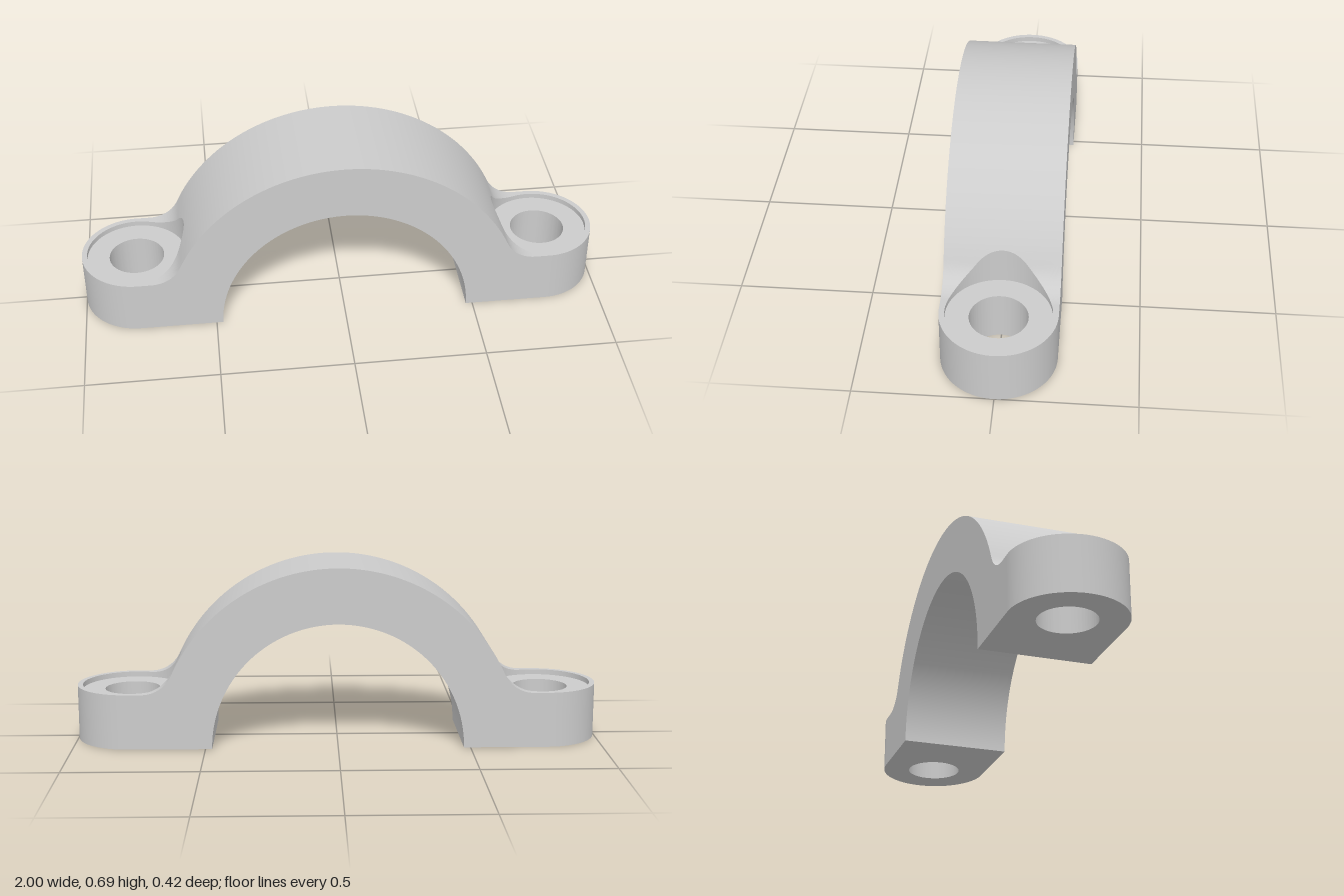
import * as THREE from 'three';
import { mergeGeometries, toCreasedNormals } from 'three/addons/utils/BufferGeometryUtils.js';

const OUTER = 0.685, BORE = 0.475, HALF = 0.21;        // arch radii, half depth
const LUG_X = 0.79, LUG_H = 0.21;                       // lug centre and height
const HOLE = 0.105, SPOT = 0.19, FLOOR = 0.19;          // bolt hole, spot face radius and floor height
const SEAM = LUG_X - SPOT;                              // where arch and lug meet
const FILLET = 0.124;
const FY = LUG_H + FILLET;
const FX = Math.sqrt((OUTER + FILLET) ** 2 - FY ** 2);  // fillet centre
const TANGENT = FX * OUTER / (OUTER + FILLET);

// Height of the upper surface: arch, then fillet, then flat lug
function topHeight(x) {
  if (x < TANGENT) return Math.sqrt(OUTER ** 2 - x * x);
  if (x < FX) return FY - Math.sqrt(FILLET ** 2 - (x - FX) ** 2);
  return LUG_H;
}

// Skin a row of closed rings; triangles on the hidden seam plane are left out
function skin(rings, loop) {
  const pos = [], tri = new THREE.Triangle();
  const add = (a, b, c) => {
    if (tri.set(a, b, c).getArea() < 1e-9) return;
    if ([a, b, c].every(p => Math.abs(Math.abs(p.x) - SEAM) < 1e-6)) return;
    for (const p of [a, b, c]) pos.push(p.x, p.y, p.z);
  };
  const count = loop ? rings.length : rings.length - 1;
  for (let i = 0; i < count; i++) {
    const r = rings[i], s = rings[(i + 1) % rings.length];
    for (let j = 0; j < r.length; j++) {
      const k = (j + 1) % r.length;
      add(r[j], s[j], r[k]);
      add(r[k], s[j], s[k]);
    }
  }
  const g = new THREE.BufferGeometry();
  g.setAttribute('position', new THREE.Float32BufferAttribute(pos, 3));
  return g;
}

// Half-round arch between the two seams
function archGeometry() {
  const n = 40, end = Math.asin(SEAM / OUTER), rings = [];
  const ring = (ix, iy, ox, oy) => rings.push([
    new THREE.Vector3(ox, oy, HALF), new THREE.Vector3(ox, oy, -HALF),
    new THREE.Vector3(ix, iy, -HALF), new THREE.Vector3(ix, iy, HALF)]);
  ring(-SEAM, 0, -SEAM, topHeight(SEAM));
  for (let i = -n; i <= n; i++) {
    const a = end * i / n, b = Math.PI / 2 * i / n;
    ring(BORE * Math.sin(b), BORE * Math.cos(b), OUTER * Math.sin(a), OUTER * Math.cos(a));
  }
  ring(SEAM, 0, SEAM, topHeight(SEAM));
  return skin(rings, false);
}

// Lug with rounded end, bolt hole and round spot face cut into the fillet
function lugGeometry() {
  const outline = [], n = 28;
  for (let i = 0; i < 2 * n; i++) {
    const a = -Math.PI / 2 + Math.PI * i / (2 * n);
    outline.push([HALF * Math.cos(a), HALF * Math.sin(a)]);
  }
  for (let i = 0; i < n; i++) outline.push([-SPOT * i / n, HALF]);
  for (let i = 0; i < 2 * n; i++) outline.push([-SPOT, HALF * (1 - i / n)]);
  for (let i = 0; i < n; i++) outline.push([-SPOT * (1 - i / n), -HALF]);

  const rings = outline.map(([ox, oz]) => {
    const far = Math.hypot(ox, oz);
    const at = (radius, y) => {
      const x = LUG_X + ox / far * radius;
      return new THREE.Vector3(x, y ?? topHeight(x), oz / far * radius);
    };
    const ring = [at(HOLE, 0), at(HOLE, FLOOR), at(SPOT, FLOOR)];
    for (let k = 0; k <= 6; k++) ring.push(at(SPOT + (far - SPOT) * k / 6));
    ring.push(at(far, 0));
    return ring;
  });
  return skin(rings, true);
}

export function createModel() {
  const group = new THREE.Group();
  group.name = 'pipeClamp';

  // Arch and both lugs joined into one smooth casting
  const geometry = mergeGeometries([
    archGeometry(), lugGeometry(), lugGeometry().rotateY(Math.PI)]);
  const body = new THREE.Mesh(
    toCreasedNormals(geometry, 0.38),
    new THREE.MeshStandardMaterial({ color: 0xcccccc }));
  body.name = 'clampBody';
  group.add(body);
  return group;
}
